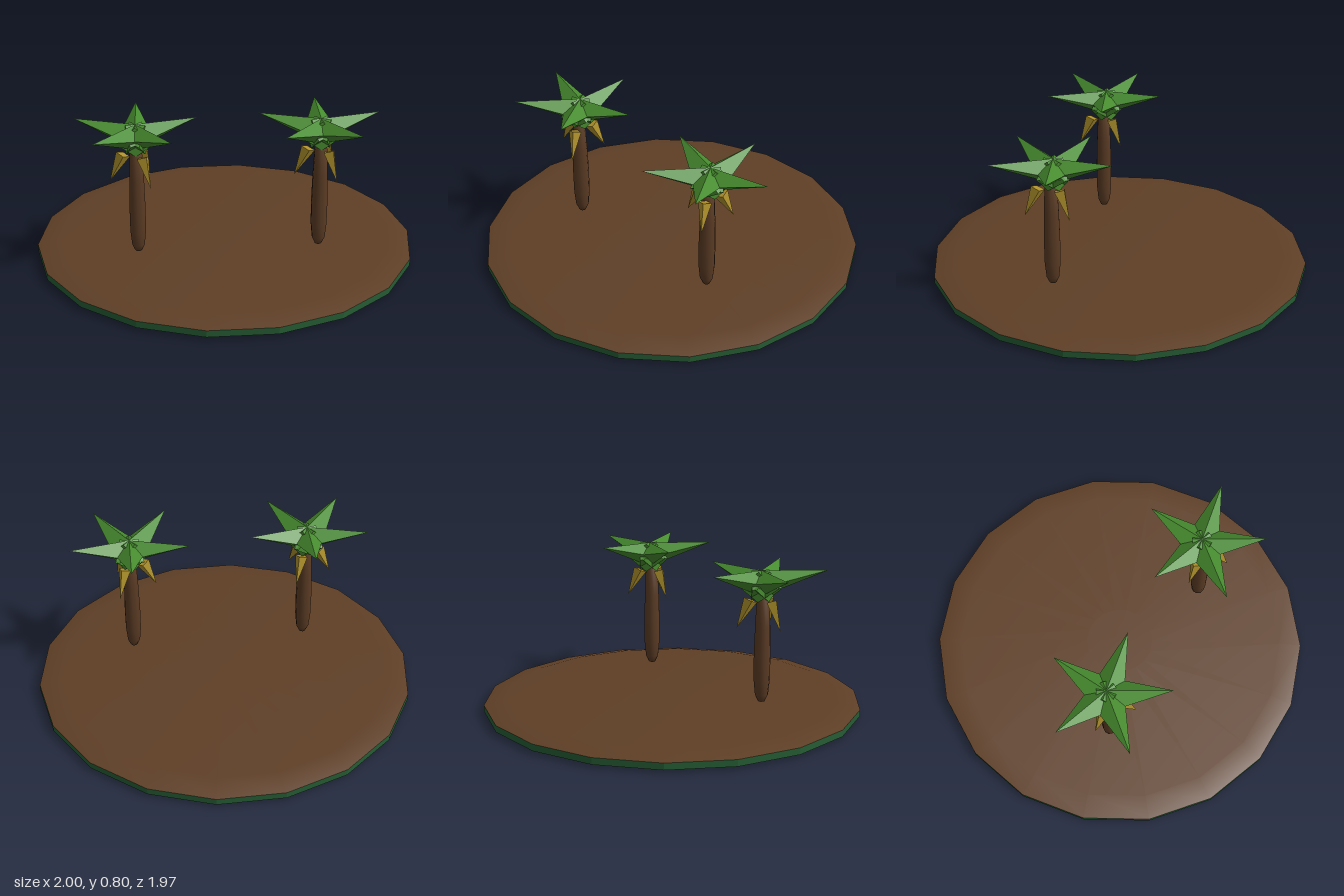
import * as THREE from 'three';

const mat = (color, opts = {}) => new THREE.MeshStandardMaterial({ color, ...opts });
const soil = mat(0x5f3f26);
const grass = mat(0x265c34, { flatShading: true });
const bark = mat(0x5a3b24);
const leafGreen = mat(0x478c2f, { flatShading: true });
const dryLeaf = mat(0xb0922c, { flatShading: true });

function mesh(name, geometry, material) {
  const m = new THREE.Mesh(geometry, material);
  m.name = name;
  return m;
}

function lathe(points, sides, start = 0) {
  return new THREE.LatheGeometry(points.map(([r, y]) => new THREE.Vector2(r, y)), sides, start);
}

// Four-sided pyramid; ring runs counter-clockwise as seen from the tip
function pyramid(tip, ring) {
  const pos = [];
  for (let i = 0; i < 4; i++) pos.push(...ring[i], ...ring[(i + 1) % 4], ...tip);
  pos.push(...ring[0], ...ring[2], ...ring[1], ...ring[0], ...ring[3], ...ring[2]);
  const g = new THREE.BufferGeometry();
  g.setAttribute('position', new THREE.Float32BufferAttribute(pos, 3));
  g.computeVertexNormals();
  return g;
}

function palmTree(x, z) {
  const tree = new THREE.Group();
  tree.name = 'palmTree';
  tree.position.set(x, 0, z);

  // Trunk rounded at the foot and slimmer at the top
  const profile = [[0, 0.1], [0.018, 0.105], [0.034, 0.14], [0.042, 0.22], [0.043, 0.35],
    [0.039, 0.5], [0.033, 0.64], [0, 0.66]];
  tree.add(mesh('trunk', lathe(profile, 10), bark));

  // Five fronds with a level ridge: [degrees clockwise from the back, length]
  const crown = new THREE.Group();
  crown.name = 'crown';
  crown.position.z = -0.015;
  const fronds = [[2, 0.31], [78.5, 0.32], [149, 0.33], [219, 0.34], [288, 0.325]];
  for (const [deg, length] of fronds) {
    const ring = [[0.105, 0.715, -0.05], [0, 0.795, -0.05], [-0.105, 0.715, -0.05], [0, 0.64, -0.05]];
    const frond = mesh('frond', pyramid([0, 0.8, length], ring), leafGreen);
    frond.rotation.y = Math.PI - THREE.MathUtils.degToRad(deg);
    crown.add(frond);
  }
  tree.add(crown);

  // Three dry leaves hanging under the crown
  for (let i = 0; i < 3; i++) {
    const ring = [[0.034, 0.642, 0.065], [0, 0.657, 0.1], [-0.034, 0.642, 0.065], [0, 0.63, 0.03]];
    const leaf = mesh('dryLeaf', pyramid([0, 0.5, 0.135], ring), dryLeaf);
    leaf.rotation.y = -Math.PI / 2 + i * Math.PI * 2 / 3;
    tree.add(leaf);
  }
  return tree;
}

export function createModel() {
  const model = new THREE.Group();
  model.name = 'palmIsland';

  // Eighteen-sided ground: green underside and rim, brown bevelled top
  const under = [[0, 0], [0.18, 0], [1, 0.013], [1, 0.048]];
  const top = [[1, 0.048], [0.88, 0.076], [0.18, 0.085], [0, 0.085]];
  model.add(mesh('groundRim', lathe(under, 18, Math.PI / 2), grass));
  model.add(mesh('groundTop', lathe(top, 18, Math.PI / 2), soil));

  for (const x of [-0.468, 0.472]) model.add(palmTree(x, 0.22));
  return model;
}
